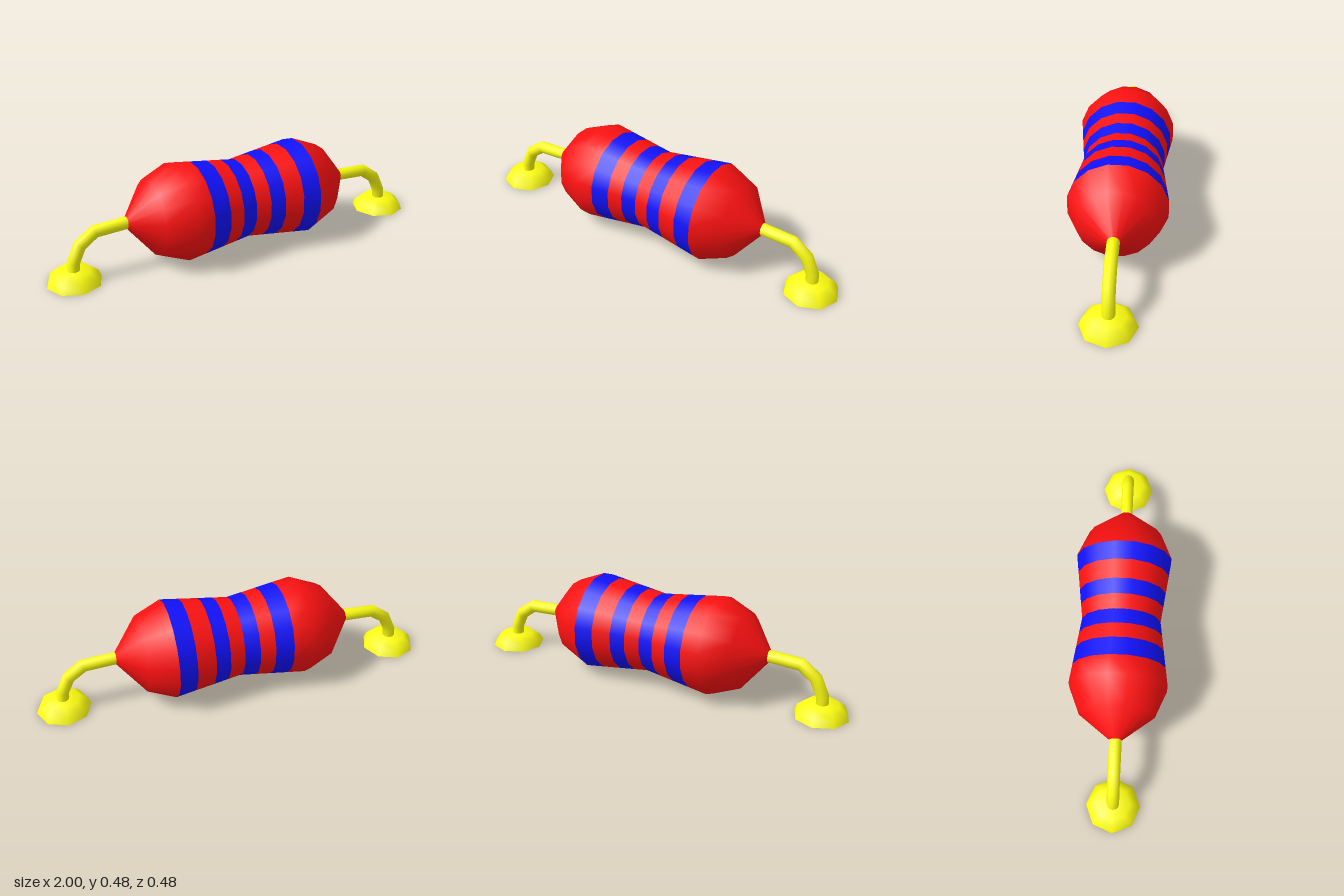
import * as THREE from 'three';
import { toCreasedNormals } from 'three/addons/utils/BufferGeometryUtils.js';

const RED = 0xff1111, BLUE = 0x1111ff, YELLOW = 0xffff11;
const AXIS_Y = 0.242;

const paint = (color) => new THREE.MeshStandardMaterial({ color });
const v2 = ([x, y]) => new THREE.Vector2(x, y);

function addMesh(parent, name, geometry, material) {
  const mesh = new THREE.Mesh(geometry, material);
  mesh.name = name;
  parent.add(mesh);
  return mesh;
}

// Half profile of the body: [distance along x, radius]
const PROFILE = [[-0.595, 0.03], [-0.47, 0.187], [-0.335, 0.243], [0, 0.197],
  [0.335, 0.243], [0.47, 0.187], [0.595, 0.03]];

function radiusAt(x) {
  const i = Math.max(1, PROFILE.findIndex((p) => p[0] >= x));
  const [a, b] = [PROFILE[i - 1], PROFILE[i]];
  return THREE.MathUtils.lerp(a[1], b[1], (x - a[0]) / (b[0] - a[0]));
}

// Slice of the 16-sided body between two x positions, flat side up
function bodySlice(x0, x1) {
  const inner = PROFILE.filter(([x]) => x > x0 && x < x1);
  const points = [[x0, radiusAt(x0)], ...inner, [x1, radiusAt(x1)]].map(([x, r]) => new THREE.Vector2(r, x));
  return new THREE.LatheGeometry(points, 16, Math.PI / 16).rotateZ(-Math.PI / 2);
}

// Bent wire with mitred joints, lying in the xy plane
function wireGeometry(path, radius, sides) {
  const pos = [], index = [];
  const pts = path.map(v2);
  pts.forEach((p, i) => {
    const before = p.clone().sub(pts[Math.max(i - 1, 0)]).normalize();
    const after = pts[Math.min(i + 1, pts.length - 1)].clone().sub(p).normalize();
    const dir = before.clone().add(after).normalize();
    const miter = 1 / dir.dot(i ? before : after);
    for (let j = 0; j < sides; j++) {
      const a = (j / sides) * Math.PI * 2;
      const s = Math.cos(a) * radius * miter;
      pos.push(p.x - dir.y * s, p.y + dir.x * s, Math.sin(a) * radius);
      if (i === 0) continue;
      const k = (j + 1) % sides, lo = (i - 1) * sides, hi = i * sides;
      index.push(lo + j, lo + k, hi + j, lo + k, hi + k, hi + j);
    }
  });
  const g = new THREE.BufferGeometry();
  g.setAttribute('position', new THREE.Float32BufferAttribute(pos, 3));
  g.setIndex(index);
  g.computeVertexNormals();
  return g;
}

export function createModel() {
  const model = new THREE.Group();
  model.name = 'resistor';
  const red = paint(RED), blue = paint(BLUE), yellow = paint(YELLOW);

  // Body with alternating red sections and blue bands
  const body = new THREE.Group();
  body.name = 'body';
  body.position.y = AXIS_Y;
  model.add(body);
  const cuts = [-0.595, -0.24, -0.15, -0.075, 0, 0.075, 0.15, 0.245, 0.335, 0.595];
  for (let i = 0; i < cuts.length - 1; i++) {
    const band = i % 2 === 1;
    addMesh(body, band ? 'colourBand' : 'bodySection', bodySlice(cuts[i], cuts[i + 1]), band ? blue : red);
  }

  // Wire legs and domed feet, the right one turned half round
  const wire = wireGeometry([[0.57, 0.245], [0.752, 0.236], [0.828, 0.182], [0.865, 0.1], [0.868, 0.04]], 0.03, 12);
  const footProfile = [[0, 0], [0.133, 0], [0.12, 0.033], [0.083, 0.063], [0, 0.063]].map(v2);
  const foot = toCreasedNormals(new THREE.LatheGeometry(footProfile, 8), 1.0);
  for (const side of ['left', 'right']) {
    const leg = new THREE.Group();
    leg.name = side + 'Leg';
    leg.rotation.y = side === 'left' ? 0 : Math.PI;
    addMesh(leg, side + 'Wire', wire, yellow);
    addMesh(leg, side + 'Foot', foot, yellow).position.x = 0.867;
    model.add(leg);
  }
  return model;
}
